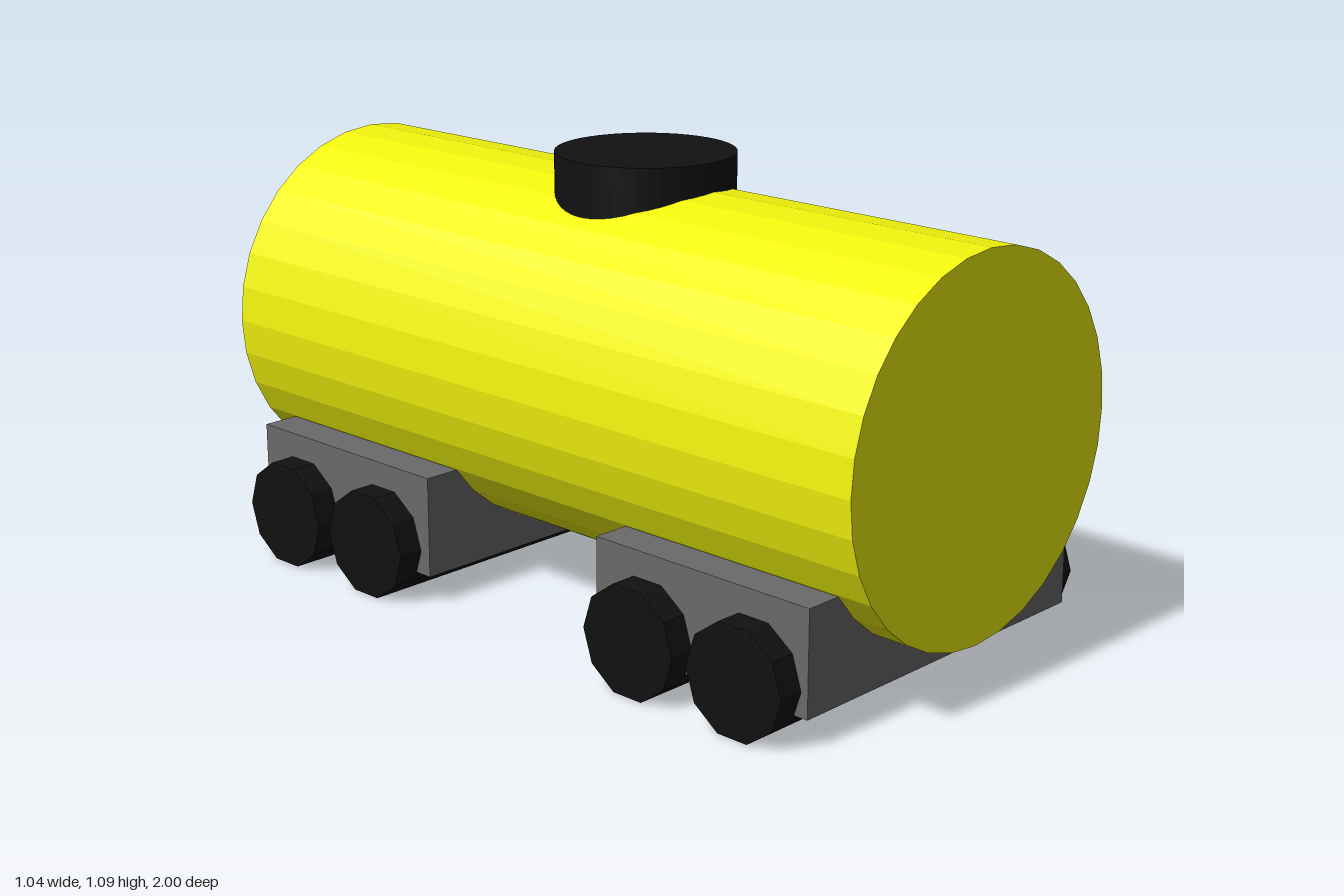
import * as THREE from 'three';

const paint = (color) => new THREE.MeshStandardMaterial({ color, flatShading: true });

export function createModel() {
  const model = new THREE.Group();
  const yellow = paint(0xf0f20d);
  const grey = paint(0x6a6a6a);
  const black = paint(0x111111);

  const add = (parent, name, geometry, material, x, y, z) => {
    const mesh = new THREE.Mesh(geometry, material);
    mesh.name = name;
    mesh.position.set(x, y, z);
    parent.add(mesh);
    return mesh;
  };

  // Tank lying along z
  const tank = new THREE.CylinderGeometry(0.446, 0.446, 2, 32).rotateX(Math.PI / 2);
  add(model, 'tank', tank, yellow, 0.003, 0.572, 0);

  // Filler hatch sunk into the top of the tank
  add(model, 'hatch', new THREE.CylinderGeometry(0.215, 0.215, 0.2, 48), black, 0.002, 0.987, 0.001);

  // Two bogies, each a block carrying two full-width rollers
  const block = new THREE.BoxGeometry(0.92, 0.25, 0.62);
  const roller = new THREE.CylinderGeometry(0.135, 0.135, 1.042, 10).rotateZ(Math.PI / 2);
  for (const [name, z] of [['frontBogie', 0.602], ['rearBogie', -0.598]]) {
    const bogie = new THREE.Group();
    bogie.name = name;
    bogie.position.z = z;
    add(bogie, 'bogieBlock', block, grey, 0.003, 0.195, name === 'frontBogie' ? -0.002 : 0.01);
    for (const side of [1, -1]) {
      add(bogie, side > 0 ? 'frontWheels' : 'rearWheels', roller, black, 0, 0.1285, side * 0.155);
    }
    model.add(bogie);
  }
  return model;
}
